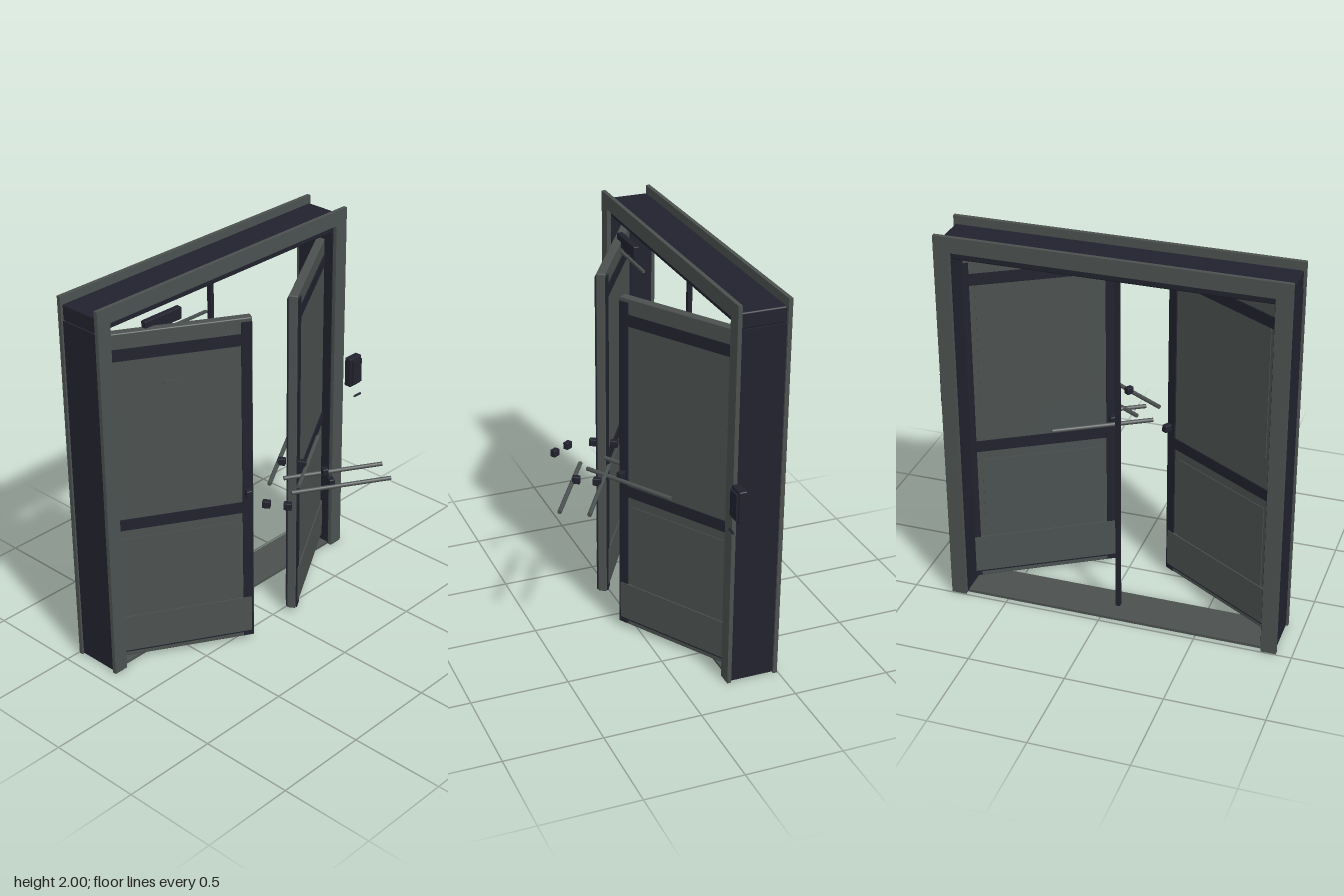
import * as THREE from 'three';
import { RoundedBoxGeometry } from 'three/addons/geometries/RoundedBoxGeometry.js';

const ANGLE = THREE.MathUtils.degToRad(31); // how far each leaf stands open
const MID = -0.06;                          // centre line of the doorway

export function createModel() {
  const grey = new THREE.MeshStandardMaterial({ color: 0x4b5150 });
  grey.name = 'slate grey';
  const dark = new THREE.MeshStandardMaterial({ color: 0x22222e });
  dark.name = 'dark navy';

  const model = new THREE.Group();
  model.name = 'doubleDoor';

  const add = (parent, name, geometry, material, x, y, z) => {
    const mesh = new THREE.Mesh(geometry, material);
    mesh.name = name;
    mesh.position.set(x, y, z);
    parent.add(mesh);
    return mesh;
  };
  // Box given by its ranges on each axis
  const box = (parent, name, material, [x0, x1], [y0, y1], [z0, z1], radius = 0) => {
    const size = [Math.abs(x1 - x0), y1 - y0, z1 - z0];
    const geometry = radius
      ? new RoundedBoxGeometry(...size, 2, radius)
      : new THREE.BoxGeometry(...size);
    return add(parent, name, geometry, material, (x0 + x1) / 2, (y0 + y1) / 2, (z0 + z1) / 2);
  };

  // Frame: casings on both faces, jambs, head and threshold
  const frame = new THREE.Group();
  frame.name = 'frame';
  model.add(frame);
  for (const [name, z] of [['frontCasing', [-0.246, -0.225]], ['backCasing', [-0.495, -0.474]]]) {
    box(frame, name + 'Head', grey, [-0.92, 0.8], [1.92, 2], z);
    for (const s of [-1, 1]) {
      box(frame, name + 'Leg', grey, [MID + s * 0.782, MID + s * 0.86], [0, 1.92], z);
    }
  }
  for (const s of [-1, 1]) {
    box(frame, 'jamb', dark, [MID + s * 0.776, MID + s * 0.85], [0.005, 1.875], [-0.474, -0.246]);
  }
  box(frame, 'frameHead', dark, [-0.91, 0.79], [1.88, 1.96], [-0.474, -0.246], 0.008);
  box(frame, 'threshold', grey, [-0.84, 0.72], [0.002, 0.016], [-0.474, -0.246]);
  box(frame, 'mullion', dark, [-0.072, -0.049], [0.001, 1.86], [-0.372, -0.349]);

  // Door leaves, measured from the hinge along the leaf
  for (const s of [1, -1]) {
    const leaf = new THREE.Group();
    leaf.name = s > 0 ? 'rightLeaf' : 'leftLeaf';
    leaf.position.set(MID - s * 0.815, 0, -0.35);
    leaf.rotation.y = -s * ANGLE;
    model.add(leaf);
    const part = (name, material, [u0, u1], y, depth, radius) =>
      box(leaf, name, material, [s * u0, s * u1], y, [-depth / 2, depth / 2], radius);

    part('slab', grey, [0, 0.78], [0.022, 1.83], 0.046, 0.006);
    for (const u of [[0.005, 0.057], [0.723, 0.775]]) {
      part('stile', dark, u, [0.03, 1.81], 0.06);
    }
    for (const y of [[1.69, 1.75], [0.77, 0.83], [0.05, 0.1]]) {
      part('rail', dark, [0.057, 0.723], y, 0.058);
    }
    part('upperPanel', grey, [0.085, 0.695], [1.0, 1.69], 0.054);
    part('lowerPanel', grey, [0.085, 0.695], [0.2, 0.72], 0.054);
    part('kickPlate', grey, [0.015, 0.765], [0.06, 0.265], 0.066);
    if (s > 0) box(leaf, 'signPlate', grey, [0.342, 0.428], [1.522, 1.56], [0.022, 0.032]);
  }

  // Push bars: centre x, centre z, direction
  const bar = new THREE.CylinderGeometry(0.011, 0.011, 0.52, 16);
  bar.rotateZ(Math.PI / 2);
  const bars = [[0.12, -0.063, 1], [0.198, 0.063, 1], [0.21, 0.22, -1], [0.13, 0.343, -1]];
  for (const [x, z, s] of bars) {
    add(model, 'pushBar', bar, grey, x, 0.874, z).rotation.y = s * ANGLE;
  }

  // Latch blocks
  const latch = new RoundedBoxGeometry(0.03, 0.038, 0.04, 2, 0.004);
  const latches = [
    [-0.203, -0.016, -1], [-0.26, 0.077, -1], [-0.275, 0.211, 1], [-0.219, 0.3, 1],
    [0.083, -0.016, 1], [0.135, 0.077, 1], [0.155, 0.211, -1], [0.1, 0.3, -1],
  ];
  for (const [x, z, s] of latches) {
    add(model, 'latchBlock', latch, dark, x, 0.892, z).rotation.y = s * ANGLE;
  }

  // Door closer and its arm
  box(model, 'closerBody', dark, [-0.645, -0.41], [1.8, 1.863], [-0.235, -0.204], 0.004);
  box(model, 'closerArm', grey, [-0.555, -0.255], [1.782, 1.794], [-0.204, -0.19]);

  // Wall reader beside the frame, with a small pull below
  box(model, 'readerBody', dark, [0.832, 0.921], [0.96, 1.127], [-0.244, -0.202], 0.006);
  box(model, 'readerFace', dark, [0.842, 0.911], [0.975, 1.112], [-0.204, -0.191]);
  const pull = new THREE.CapsuleGeometry(0.006, 0.044, 4, 10);
  pull.rotateZ(Math.PI / 2);
  add(model, 'readerPull', pull, dark, 0.876, 0.906, -0.188);

  return model;
}
